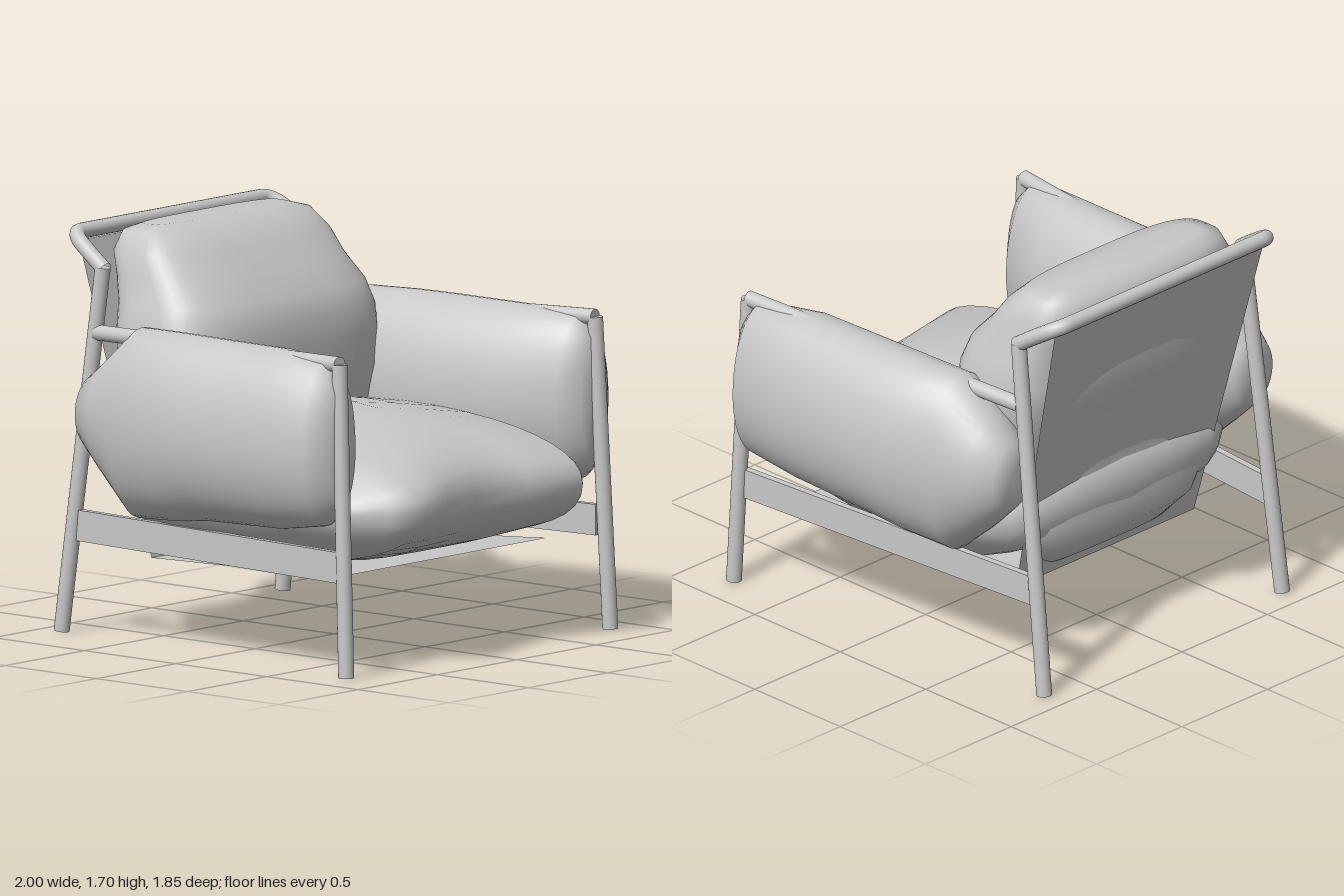
import * as THREE from 'three';

const grey = new THREE.MeshStandardMaterial({ color: 0xc8c8c8, side: THREE.DoubleSide });
grey.name = 'light grey';

const V = (x, y, z) => new THREE.Vector3(x, y, z);

function add(group, name, geometry) {
  const mesh = new THREE.Mesh(geometry, grey);
  mesh.name = name;
  group.add(mesh);
  return mesh;
}

// Straight round bar between two points
function bar(a, b, r) {
  const d = b.clone().sub(a);
  const g = new THREE.CylinderGeometry(r, r, d.length(), 20);
  g.applyQuaternion(new THREE.Quaternion().setFromUnitVectors(V(0, 1, 0), d.clone().normalize()));
  const m = a.clone().add(b).multiplyScalar(0.5);
  return g.translate(m.x, m.y, m.z);
}

// Closed superellipse ring; place(c, s) maps the unit outline to a point
function ring(power, place, n = 40) {
  const bend = (v) => Math.sign(v) * Math.pow(Math.abs(v), power);
  return Array.from({ length: n }, (_, i) => {
    const t = (i / n) * Math.PI * 2;
    return place(bend(Math.cos(t)), bend(Math.sin(t)));
  });
}

// Smooth skin over rings, capped at both ends, always facing outwards
function loft(rings) {
  const n = rings[0].length, pts = rings.flat(), index = [];
  for (let r = 0; r < rings.length - 1; r++) {
    for (let i = 0; i < n; i++) {
      const a = r * n + i, b = r * n + (i + 1) % n;
      index.push(a, b, b + n, a, b + n, a + n);
    }
  }
  [0, rings.length - 1].forEach((r) => {
    const centre = rings[r].reduce((s, p) => s.add(p), V(0, 0, 0)).divideScalar(n);
    const c = pts.push(centre) - 1;
    for (let i = 0; i < n; i++) {
      const a = r * n + i, b = r * n + (i + 1) % n;
      if (r === 0) index.push(c, b, a); else index.push(c, a, b);
    }
  });
  let volume = 0;
  for (let i = 0; i < index.length; i += 3) {
    volume += pts[index[i]].dot(pts[index[i + 1]].clone().cross(pts[index[i + 2]]));
  }
  if (volume < 0) index.reverse();
  const g = new THREE.BufferGeometry().setFromPoints(pts);
  g.setIndex(index);
  g.computeVertexNormals();
  return g;
}

// Flat four-cornered sheet
function sheet(a, b, c, d) {
  const g = new THREE.BufferGeometry().setFromPoints([a, b, c, d]);
  g.setIndex([0, 1, 2, 0, 2, 3]);
  g.computeVertexNormals();
  return g;
}

// Arm cushion sections: z, inner x, outer x, low y, high y
const armSections = [
  [0.735, 0.71, 0.88, 0.72, 1.24], [0.66, 0.63, 0.97, 0.63, 1.32],
  [0.4, 0.53, 0.985, 0.585, 1.34], [0, 0.5, 1, 0.575, 1.34],
  [-0.2, 0.5, 0.975, 0.55, 1.34], [-0.43, 0.5, 0.93, 0.535, 1.335],
  [-0.6, 0.53, 0.87, 0.69, 1.19], [-0.71, 0.59, 0.82, 0.8, 1.1],
];

function armCushion(side) {
  return loft(armSections.map(([z, xi, xo, y0, y1]) => {
    const cx = (xi + xo) / 2, w = (xo - xi) / 2, cy = 0.95;
    return ring(1, (c, s) => V(side * (cx + w * c), cy + s * (s > 0 ? y1 - cy : cy - y0), z));
  }));
}

// Seat cushion sections: x, front z, rear z, top y, bottom y
const seatHalf = [
  [0, 0.78, -0.7, 0.995, 0.345], [0.25, 0.85, -0.69, 0.96, 0.36],
  [0.51, 0.92, -0.67, 0.915, 0.395], [0.6, 0.84, -0.62, 0.87, 0.405],
  [0.68, 0.73, -0.56, 0.8, 0.47], [0.75, 0.58, -0.48, 0.73, 0.54], [0.8, 0.4, -0.35, 0.66, 0.6],
];

function seatCushion() {
  const mirrored = seatHalf.slice(1).reverse().map(([x, ...rest]) => [-x, ...rest]);
  return loft([...mirrored, ...seatHalf].map(([x, zf, zr, yt, yb]) => {
    const cy = Math.min(0.67, (yt + yb) / 2 + 0.03), cz = -0.05;
    return ring(0.9, (c, s) => V(x, cy + s * (s > 0 ? yt - cy : cy - yb), cz + c * (c > 0 ? zf - cz : cz - zr)));
  }));
}

// Back cushion sections: y, half width, front z, rear z
const backSections = [
  [1.705, 0.42, -0.58, -0.74], [1.68, 0.51, -0.48, -0.81], [1.6, 0.56, -0.39, -0.845],
  [1.5, 0.575, -0.31, -0.825], [1.4, 0.61, -0.215, -0.8], [1.3, 0.64, -0.18, -0.79],
  [1.2, 0.645, -0.17, -0.785], [1.05, 0.63, -0.17, -0.722], [0.9, 0.6, -0.2, -0.683],
  [0.75, 0.57, -0.28, -0.66], [0.6, 0.53, -0.36, -0.695], [0.48, 0.47, -0.42, -0.665],
  [0.38, 0.36, -0.46, -0.58],
];

function backCushion() {
  return loft(backSections.map(([y, w, zf, zr]) =>
    ring(0.62, (c, s) => V(w * c, y, (zf + zr) / 2 + s * (zf - zr) / 2), 56)));
}

export function createModel() {
  const chair = new THREE.Group();
  chair.name = 'armchair';

  add(chair, 'seatCushion', seatCushion());
  add(chair, 'backCushion', backCushion());

  [[1, 'left'], [-1, 'right']].forEach(([s, side]) => {
    add(chair, side + 'ArmCushion', armCushion(s));
    const frontTop = V(s * 0.805, 1.315, 0.73);
    add(chair, side + 'FrontLeg', bar(V(s * 0.832, 0.01, 0.79), frontTop, 0.033));
    add(chair, side + 'RearLeg', bar(V(s * 0.696, 0.01, -0.89), V(s * 0.655, 1.55, -0.7), 0.033));
    add(chair, side + 'ArmRail', bar(frontTop, V(s * 0.665, 1.275, -0.72), 0.033));

    // Flat side rail between the legs
    const a = V(s * 0.81, 0.465, 0.74), b = V(s * 0.68, 0.46, -0.82);
    const rail = add(chair, side + 'SideRail', new THREE.BoxGeometry(0.03, 0.13, a.distanceTo(b)));
    rail.position.copy(a).add(b).multiplyScalar(0.5);
    rail.lookAt(a);
  });

  // Bent tube across the top of the back
  const half = [V(0.655, 1.54, -0.69), V(0.645, 1.6, -0.78), V(0.625, 1.65, -0.86), V(0.59, 1.668, -0.893), V(0.52, 1.67, -0.897)];
  const path = new THREE.CurvePath();
  const bend = new THREE.CatmullRomCurve3(half);
  const otherBend = new THREE.CatmullRomCurve3(half.map((p) => V(-p.x, p.y, p.z)).reverse());
  path.add(bend);
  path.add(new THREE.LineCurve3(half[4], V(-0.52, 1.67, -0.897)));
  path.add(otherBend);
  add(chair, 'topRail', new THREE.TubeGeometry(path, 80, 0.033, 16, false));

  // Thin support sheets under the seat and behind the back
  add(chair, 'seatSheet', sheet(V(-0.66, 0.39, 0.59), V(-0.52, 0.33, -0.55), V(0.52, 0.33, -0.55), V(0.66, 0.39, 0.59)));
  add(chair, 'backSheet', sheet(V(-0.52, 0.33, -0.55), V(-0.61, 1.64, -0.87), V(0.61, 1.64, -0.87), V(0.52, 0.33, -0.55)));

  return chair;
}
